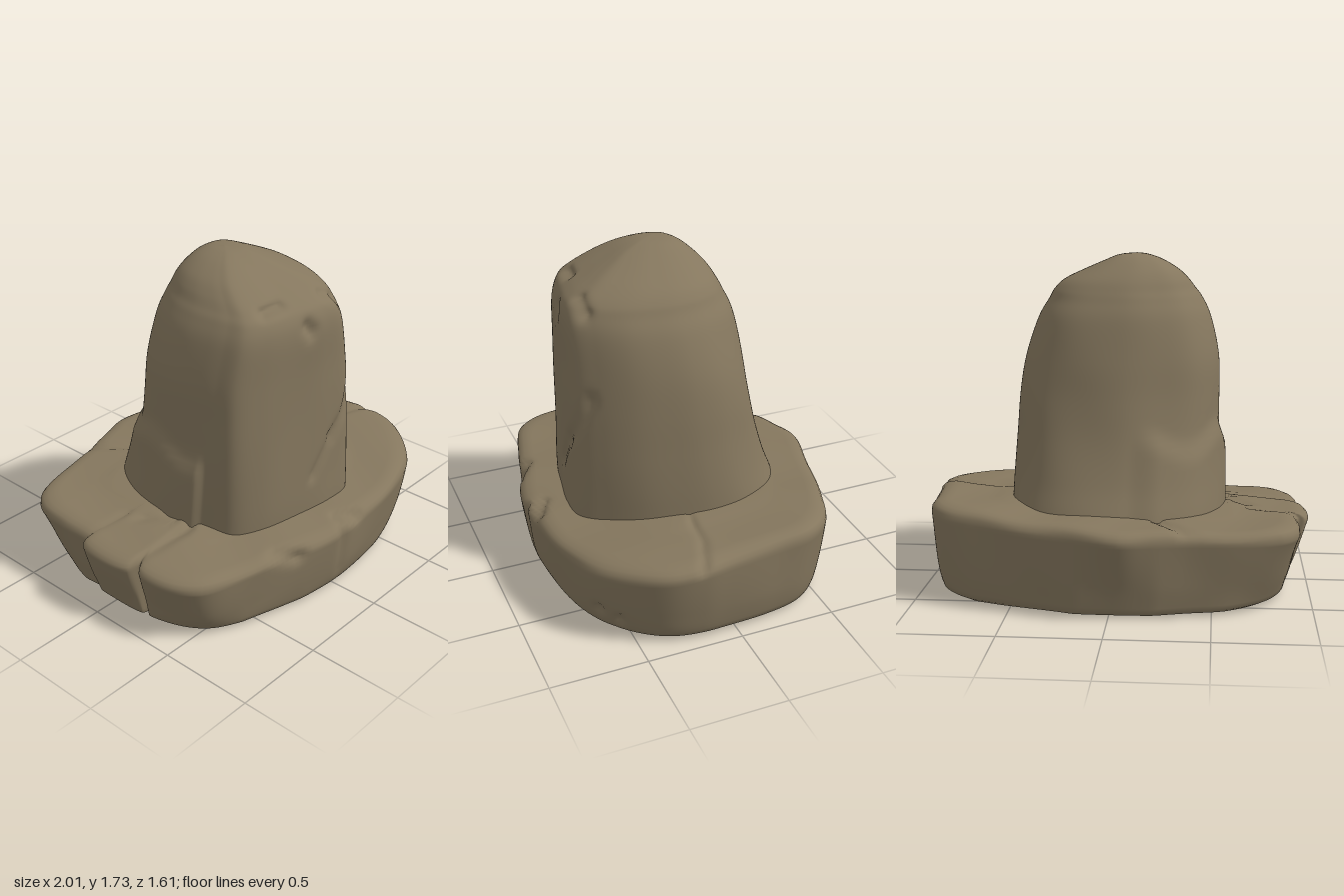
import * as THREE from 'three';

const SEG = 240;
const V = (x, y, z) => new THREE.Vector3(x, y, z);

// Closed smooth outline in x,z, sampled from the back clockwise seen from above
function outline(points) {
  const c = new THREE.CatmullRomCurve3(points.map(([x, z]) => V(x, 0, z)), true, 'centripetal');
  return Array.from({ length: SEG }, (_, i) => c.getPoint(i / SEG));
}

// Skin a stack of rings from bottom to top; first and last rings shrink to a point
function loft(rings) {
  const pos = [], idx = [];
  rings.forEach(r => r.forEach(p => pos.push(p.x, p.y, p.z)));
  for (let j = 0; j < rings.length - 1; j++) {
    for (let i = 0; i < SEG; i++) {
      const a = j * SEG + i, b = j * SEG + (i + 1) % SEG;
      idx.push(a, a + SEG, b, b, a + SEG, b + SEG);
    }
  }
  const g = new THREE.BufferGeometry();
  g.setAttribute('position', new THREE.Float32BufferAttribute(pos, 3));
  g.setIndex(idx);
  g.computeVertexNormals();
  return g;
}

// Press cracks and chips into a point: each is [start, end, width, depth]
function carve(p, cracks, centre) {
  const q = V(0, 0, 0);
  let d = 0;
  for (const [a, b, w, depth] of cracks) {
    new THREE.Line3(a, b).closestPointToPoint(p, true, q);
    d = Math.max(d, depth * Math.exp(-p.distanceToSquared(q) / (w * w)));
  }
  if (d > 0.0005) p.add(centre.clone().sub(p).normalize().multiplyScalar(d));
  return p;
}

// Gentle uneven stone surface
const rough = (x, y, z) =>
  Math.sin(7 * x + 3 * y + 1) * Math.sin(6 * z - 4 * y) + 0.6 * Math.sin(13 * x - 9 * y + 5 * z);

function slabGeometry() {
  const edge = outline([
    [-0.04, -0.81], [0.3, -0.72], [0.62, -0.63], [0.82, -0.54], [0.93, -0.4], [0.955, -0.2],
    [0.98, 0.05], [1, 0.2], [0.98, 0.38], [0.87, 0.55], [0.73, 0.67], [0.5, 0.75], [0.2, 0.785],
    [0, 0.8], [-0.15, 0.78], [-0.35, 0.73], [-0.6, 0.66], [-0.85, 0.59], [-0.94, 0.46],
    [-0.95, 0.27], [-0.9, 0.225], [-0.97, 0.2], [-1, 0.05], [-0.98, -0.1], [-0.94, -0.11],
    [-0.945, -0.3], [-0.93, -0.48], [-0.84, -0.59], [-0.4, -0.71], [-0.2, -0.77]]);
  // Rounder, smaller outline that the slab stands on
  const foot = edge.map(e => {
    const r = Math.hypot(e.x, e.z), P = 2.6;
    const round = ((Math.abs(e.x / r) / 0.89) ** P + (Math.abs(e.z / r) / 0.71) ** P) ** (-1 / P);
    const k = Math.min(round, r * 0.93) / r;
    return V(e.x * k + 0.015, 0, e.z * k);
  });
  // [spread, height fraction] of the underside, the walls and the top
  const under = [[0, 0], [0.3, 0], [0.6, 0], [0.85, 0.004], [0.95, 0.012], [0.985, 0.03]];
  const walls = [0.06, 0.12, 0.18, 0.24, 0.3, 0.36, 0.42, 0.48, 0.54, 0.6, 0.66, 0.72, 0.78, 0.83, 0.87];
  const upper = [[0.996, 0.92], [0.98, 0.96], [0.955, 0.985], [0.92, 1], [0.89, 1], [0.86, 1], [0.83, 1],
    [0.8, 1], [0.77, 1], [0.74, 1], [0.71, 1], [0.68, 1], [0.65, 1.005], [0.6, 1.01], [0.5, 1.01], [0, 1.01]];
  const cracks = [
    [V(-1, 0.42, 0.23), V(-0.58, 0.42, 0.245), 0.026, 0.045],
    [V(-1, 0.42, -0.11), V(-0.7, 0.43, -0.09), 0.022, 0.025],
    [V(-0.68, 0.42, 0), V(-0.55, 0.42, 0.14), 0.03, 0.03],
    [V(0.55, 0.47, 0.1), V(0.8, 0.48, 0.13), 0.022, 0.025],
    [V(0.8, 0.48, 0.13), V(1, 0.46, 0.21), 0.025, 0.025],
    [V(-0.37, 0.45, -0.69), V(-0.23, 0.45, -0.52), 0.03, 0.03],
    [V(-0.01, 0.4, 0.8), V(0, 0.12, 0.74), 0.03, 0.02],
    [V(0.03, 0.4, 0.73), V(0.13, 0.39, 0.78), 0.035, 0.04],
    [V(-0.42, 0.37, 0.68), V(-0.3, 0.33, 0.74), 0.035, 0.035],
    [V(0.69, 0.13, 0.65), V(0.7, 0.14, 0.65), 0.03, 0.03],
    [V(0.77, 0.09, 0.56), V(0.78, 0.12, 0.57), 0.025, 0.025]];
  const place = (x, z, h) => {
    const top = 0.44 + 0.045 * x - 0.03 * z - 0.03 * Math.max(0, -z - 0.4) - 0.05 * Math.max(0, z - 0.2);
    const n = rough(x, h * 0.4, z) * 0.006 * Math.min(1, h * 3);
    const p = V(x * (1 - n), 0.005 + h * top + (h > 0.9 ? n : 0), z * (1 - n));
    return h > 0.05 ? carve(p, cracks, V(x * 0.5, 0.2, z * 0.5)) : p;
  };
  return loft([
    ...under.map(([k, h]) => foot.map(f => place(f.x * k, f.z * k, h))),
    // Walls flare evenly at the back and right, and bulge low at the front and left
    ...walls.map(h => edge.map((e, i) => {
      const t = (h / 0.87) ** (1 - 0.6 * Math.max(0, e.z / 0.8, e.x));
      const p = foot[i].clone().lerp(e, t);
      return place(p.x, p.z, h);
    })),
    ...upper.map(([k, h]) => edge.map(e => place(e.x * k, e.z * k, h)))]);
}

function uprightGeometry() {
  const foot = outline([
    [-0.04, -0.54], [0.28, -0.51], [0.43, -0.42], [0.53, -0.25], [0.56, -0.07], [0.535, 0.12],
    [0.48, 0.3], [0.38, 0.46], [0.26, 0.575], [0.1, 0.585], [-0.1, 0.555], [-0.35, 0.5],
    [-0.49, 0.42], [-0.53, 0.3], [-0.55, 0.2], [-0.56, 0], [-0.52, -0.2], [-0.42, -0.37], [-0.26, -0.47]]);
  // [height, right, left, back, front]
  const levels = [
    [0.3, -0.525, 0.56, -0.58, 0.605], [0.45, -0.525, 0.555, -0.53, 0.605], [0.6, -0.525, 0.55, -0.47, 0.6],
    [0.8, -0.525, 0.54, -0.41, 0.595], [1, -0.525, 0.525, -0.37, 0.59], [1.2, -0.515, 0.49, -0.34, 0.585],
    [1.4, -0.47, 0.43, -0.3, 0.585], [1.5, -0.425, 0.375, -0.26, 0.56], [1.55, -0.39, 0.345, -0.235, 0.51],
    [1.6, -0.355, 0.29, -0.205, 0.42], [1.65, -0.305, 0.19, -0.16, 0.32], [1.7, -0.225, 0.075, -0.1, 0.215],
    [1.728, -0.15, 0, -0.04, 0.13], [1.737, -0.09, -0.09, 0.05, 0.05]];
  const xs = new THREE.CatmullRomCurve3(levels.map(l => V(l[1], l[0], l[2])), false, 'catmullrom', 0.5);
  const zs = new THREE.CatmullRomCurve3(levels.map(l => V(l[3], l[0], l[4])), false, 'catmullrom', 0.5);
  const cracks = [
    [V(0, 0.6, 0.58), V(0.13, 0.78, 0.58), 0.03, 0.018],
    [V(0.13, 0.78, 0.58), V(0.22, 0.88, 0.56), 0.035, 0.03],
    [V(0.22, 0.88, 0.56), V(0.3, 1.08, 0.52), 0.035, 0.03],
    [V(-0.26, 1.55, 0.45), V(-0.16, 1.57, 0.47), 0.03, 0.035],
    [V(-0.06, 1.45, 0.57), V(-0.04, 1.42, 0.58), 0.035, 0.03],
    [V(0.12, 1.54, 0.5), V(0.2, 1.5, 0.5), 0.035, 0.03]];
  const ROWS = 78, rings = [];
  for (let j = 0; j <= ROWS; j++) {
    const a = xs.getPoint(j / ROWS), b = zs.getPoint(j / ROWS);
    rings.push(foot.map(f => {
      const u = (f.x + 0.56) / 1.12, w = (f.z + 0.54) / 1.13;
      const x = a.x + (a.z - a.x) * u, z = b.x + (b.z - b.x) * w;
      // Broken outer layer low on the right rear
      const ang = Math.atan2(-f.z, -f.x);
      const side = THREE.MathUtils.smoothstep(ang, -0.45, -0.35) * (1 - THREE.MathUtils.smoothstep(ang, 1.1, 1.4));
      const rim = 0.83 + 0.04 * Math.sin(6 * ang);
      const layer = 0.035 * side * (1 - THREE.MathUtils.smoothstep(a.y, rim - 0.1, rim + 0.03));
      const n = 1 + layer / 0.55 + rough(x, a.y, z) * 0.007;
      const cx = (a.x + a.z) / 2, cz = (b.x + b.z) / 2;
      return carve(V(cx + (x - cx) * n, a.y, cz + (z - cz) * n), cracks, V(0, a.y - 0.1, 0.1));
    }));
  }
  return loft([rings[0].map(() => V(0, 0.3, 0)), ...rings]);
}

export function createModel() {
  const group = new THREE.Group();
  group.name = 'standingStone';
  const stone = new THREE.MeshStandardMaterial({ color: 0x85775e });
  stone.name = 'brown stone';
  for (const [name, geometry] of [['baseSlab', slabGeometry()], ['uprightStone', uprightGeometry()]]) {
    const mesh = new THREE.Mesh(geometry, stone);
    mesh.name = name;
    group.add(mesh);
  }
  return group;
}
